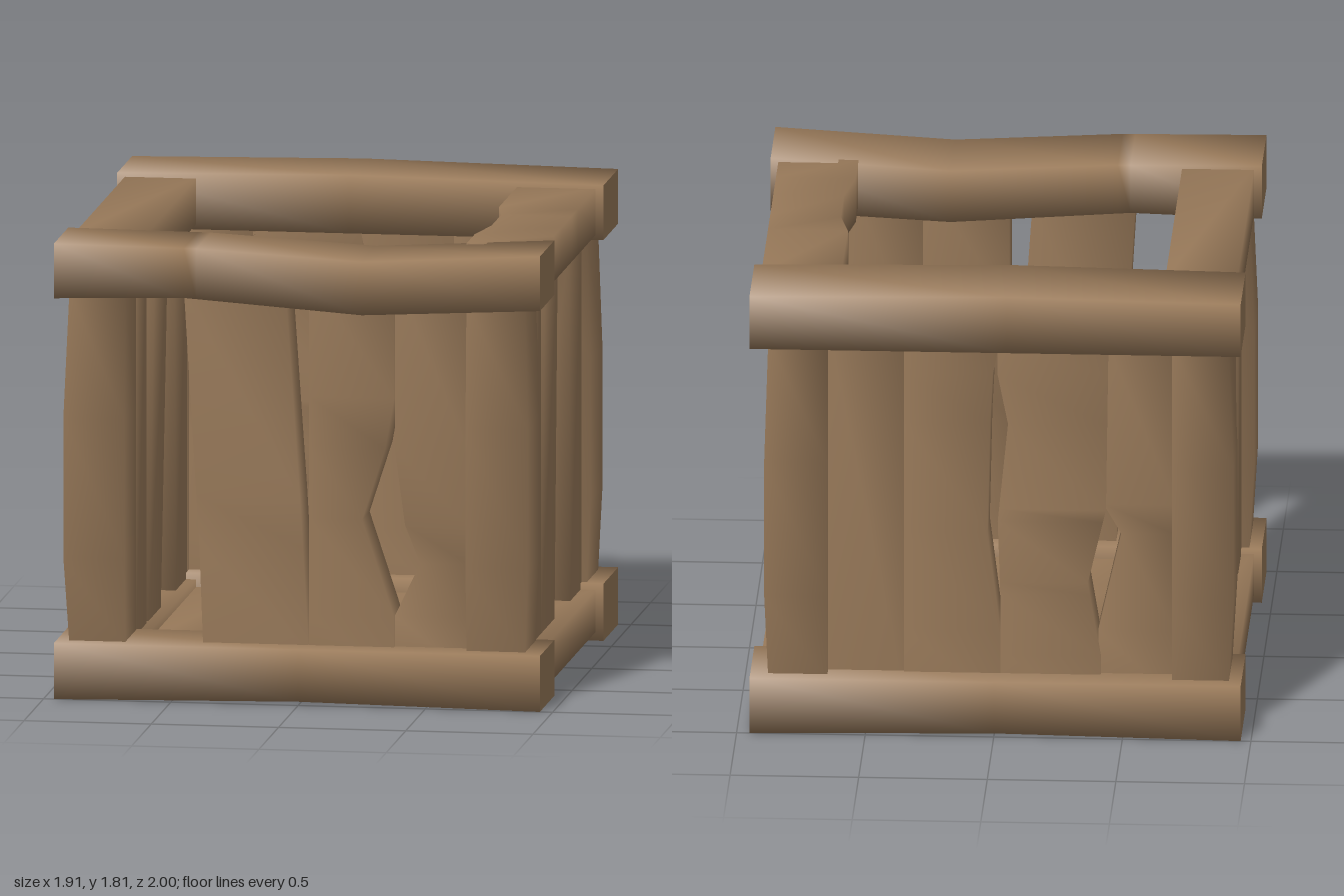
import * as THREE from 'three';

const wood = new THREE.MeshStandardMaterial({ color: 0x997a5a });
wood.name = 'wood';

// An edge is a number (straight) or a list of [position along the beam, value]
function edgeAt(edge, t) {
  if (typeof edge === 'number') return edge;
  if (t <= edge[0][0]) return edge[0][1];
  for (let i = 1; i < edge.length; i++) {
    const [t0, v0] = edge[i - 1], [t1, v1] = edge[i];
    if (t <= t1) return v0 + (v1 - v0) * (t - t0) / (t1 - t0);
  }
  return edge[edge.length - 1][1];
}

// Four-sided beam: axes = width, depth, length; smooth along its sides, flat ends
function beam(name, axes, [start, end], [aLo, aHi], [bLo, bHi]) {
  const edges = [aLo, aHi, bLo, bHi];
  const stops = new Set([start, end]);
  for (const e of edges) {
    if (Array.isArray(e)) e.forEach(([t]) => { if (t > start && t < end) stops.add(t); });
  }
  const ts = [...stops].sort((p, q) => p - q);
  const [ia, ib, it] = [...axes].map(c => 'xyz'.indexOf(c));
  const flip = (ib - ia + 3) % 3 !== 1;
  const pos = [], index = [];
  const ring = t => {
    const [a0, a1, b0, b1] = edges.map(e => edgeAt(e, t));
    for (const [a, b] of [[a0, b0], [a1, b0], [a1, b1], [a0, b1]]) {
      const p = [0, 0, 0];
      p[ia] = a; p[ib] = b; p[it] = t;
      pos.push(...p);
    }
  };
  const tri = (a, b, c) => (flip ? index.push(a, c, b) : index.push(a, b, c));
  ts.forEach(ring);
  for (let s = 0; s < ts.length - 1; s++) {
    for (let k = 0; k < 4; k++) {
      const a = s * 4 + k, b = s * 4 + (k + 1) % 4;
      tri(a, b, b + 4);
      tri(a, b + 4, a + 4);
    }
  }
  let n = pos.length / 3;
  ring(start);
  tri(n, n + 2, n + 1); tri(n, n + 3, n + 2);
  n += 4;
  ring(end);
  tri(n, n + 1, n + 2); tri(n, n + 2, n + 3);
  const geo = new THREE.BufferGeometry();
  geo.setAttribute('position', new THREE.Float32BufferAttribute(pos, 3));
  geo.setIndex(index);
  geo.computeVertexNormals();
  const mesh = new THREE.Mesh(geo, wood);
  mesh.name = name;
  return mesh;
}

export function createModel() {
  const crate = new THREE.Group();
  crate.name = 'crate';
  const add = (...args) => crate.add(beam(...args));

  // Long rails across the front and back
  const X = [-0.96, 0.95], front = [0.63, 1], back = [-1, -0.62];
  add('frontTopRail', 'yzx', X, [
    [[-0.96, 1.58], [-0.45, 1.595], [0.25, 1.545], [0.95, 1.58]],
    [[-0.96, 1.795], [-0.4, 1.79], [0.25, 1.755], [0.95, 1.795]]], front);
  add('backTopRail', 'yzx', X, [1.58, [[-0.96, 1.795], [-0.05, 1.81], [0.95, 1.795]]], back);
  add('frontBottomRail', 'yzx', X, [[[-0.96, 0], [0, 0.015], [0.95, 0]], 0.22], front);
  add('backBottomRail', 'yzx', X, [[[-0.96, 0], [0, 0.015], [0.95, 0]], 0.225], back);

  // Short rails along the sides
  const Z = [-0.66, 0.67];
  const wornEdge = [[-0.16, 0.61], [0, 0.645], [0.25, 0.645], [0.45, 0.61]];
  add('rightTopRail', 'xyz', Z, [wornEdge, 0.92], [1.6, 1.78]);
  add('leftTopRail', 'xyz', Z, [-0.93, -0.65], [1.6, 1.78]);
  add('rightBottomRail', 'xyz', Z, [0.61, 0.92], [0.035, 0.2]);
  add('leftBottomRail', 'xyz', Z, [-0.93, -0.65], [0.035, 0.2]);

  // Slightly swollen corner posts
  const bulge = (end, mid) => [[0.2, end], [0.55, mid], [1.1, mid], [1.6, end]];
  const H = [0.12, 1.68];
  for (const [side, xs] of [['Right', [0.65, bulge(0.88, 0.895)]], ['Left', [bulge(-0.91, -0.93), -0.69]]]) {
    add('front' + side + 'Post', 'xzy', H, xs, [0.65, bulge(0.925, 0.95)]);
    add('back' + side + 'Post', 'xzy', H, xs, [bulge(-0.935, -0.955), -0.65]);
  }

  // Front wall: a leaning plank and two split planks
  const frontDepth = [0.7, 0.89];
  add('frontLeaningPlank', 'xzy', H, [
    [[0.2, -0.39], [0.6, -0.405], [1.6, -0.465]],
    [[0.2, 0.025], [0.8, -0.01], [1.6, -0.065]]], frontDepth);
  add('frontSplitPlank', 'xzy', H, [0.025,
    [[0.34, 0.36], [0.72, 0.235], [1.0, 0.325], [1.2, 0.36]]], frontDepth);
  add('frontChippedPlank', 'xzy', H, [
    [[0.34, 0.36], [0.55, 0.46], [0.7, 0.4], [1.0, 0.36]], 0.65], [0.7, 0.87]);

  // Back wall: four planks with splits along the seams
  const backDepth = [-0.89, -0.7];
  add('backPlank', 'xzy', H, [0.35, 0.66], [-0.88, -0.7]);
  add('backPlank', 'xzy', H, [
    [[0.4, -0.02], [0.8, 0.03], [1.25, 0.02], [1.45, 0.01], [1.6, -0.02]], 0.355], backDepth);
  add('backSplitPlank', 'xzy', H, [
    [[0.3, -0.41], [0.6, -0.36], [0.9, -0.43], [1.6, -0.44]],
    [[0.55, -0.02], [0.85, -0.01], [1.25, -0.05], [1.45, -0.01]]], backDepth);
  add('backChippedPlank', 'xzy', H, [-0.7,
    [[0.4, -0.4], [0.8, -0.49], [0.92, -0.42], [1.6, -0.43]]], [-0.87, -0.7]);

  // Side walls: upright planks by the posts and one leaning plank each
  for (const [side, depth] of [['right', [0.68, 0.86]], ['left', [-0.88, -0.69]]]) {
    add(side + 'FrontPlank', 'zxy', H, [0.39, 0.66], depth);
    add(side + 'BackPlank', 'zxy', H, [-0.66, [[0.2, -0.36], [1.6, -0.33]]], depth);
  }
  add('rightLeaningPlank', 'zxy', H, [
    [[0.2, 0.04], [1.6, -0.04]], [[0.2, 0.39], [1.6, 0.275]]], [0.68, 0.86]);
  add('leftLeaningPlank', 'zxy', H, [
    [[0.2, 0.02], [1.6, -0.16]], [[0.2, 0.34], [1.6, 0.17]]], [-0.88, -0.69]);

  // Floor planks with worn gaps
  const floor = [0.05, 0.17];
  add('floorPlank', 'xyz', Z, [-0.68, -0.405], floor);
  add('floorChippedPlank', 'xyz', Z, [-0.405,
    [[-0.44, -0.05], [-0.3, -0.085], [-0.15, -0.2], [0.33, -0.06]]], floor);
  add('floorSplitPlank', 'xyz', Z, [
    [[-0.44, -0.05], [0.2, 0.045], [0.33, -0.06]],
    [[-0.08, 0.36], [0.2, 0.275], [0.62, 0.36]]], floor);
  add('floorWornPlank', 'xyz', Z, [
    [[-0.08, 0.36], [0.47, 0.48], [0.55, 0.4], [0.62, 0.36]], 0.66], floor);

  return crate;
}
